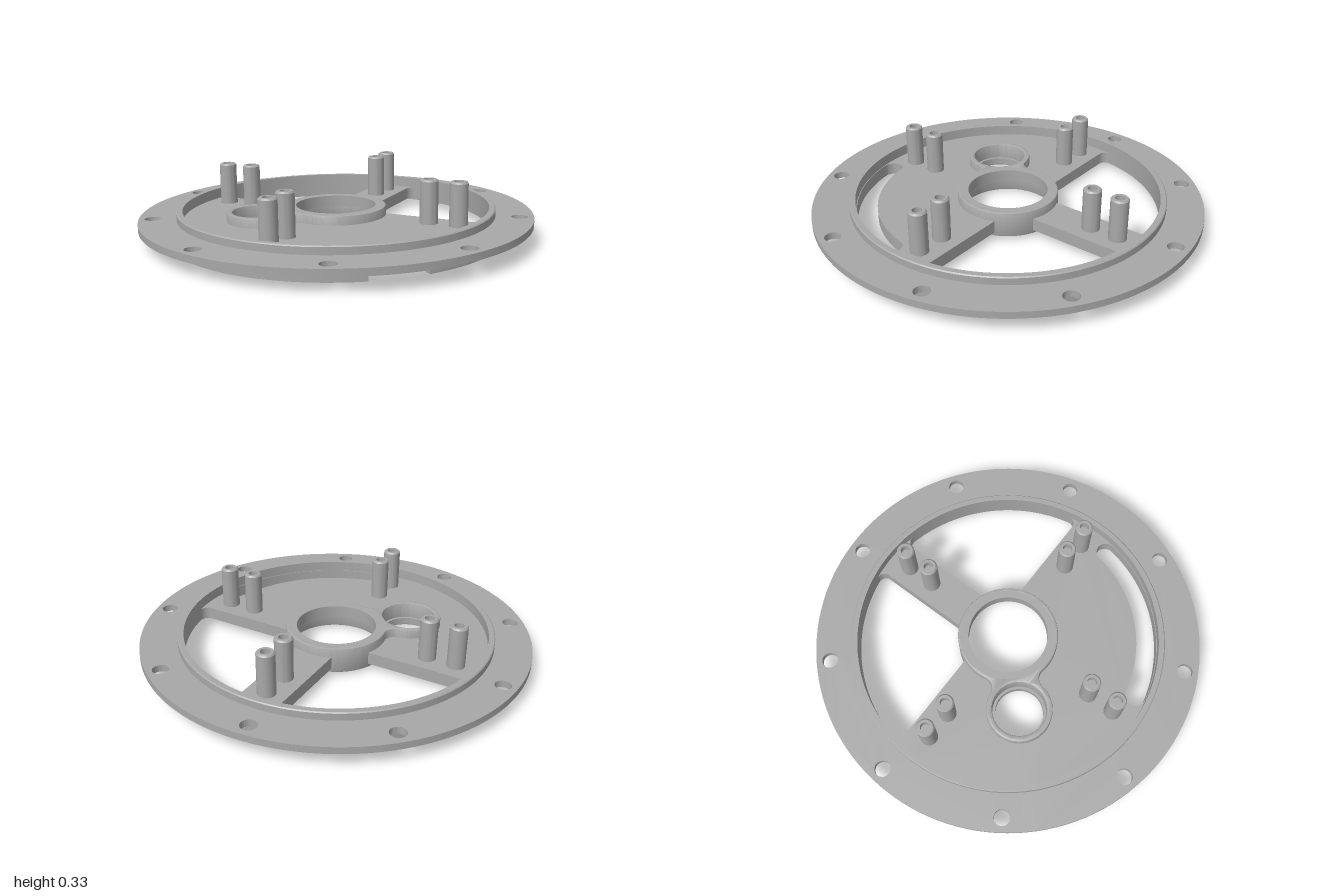
import * as THREE from 'three';
import { toCreasedNormals } from 'three/addons/utils/BufferGeometryUtils.js';

const RAD = Math.PI / 180;
const metal = new THREE.MeshStandardMaterial({ color: 0xa8a8a8 });
metal.name = 'grey metal';

const circle = (x, y, r, T = THREE.Path) => new T().absarc(x, y, r, 0, Math.PI * 2, false);

// Flat shape (shape y = -z) raised from y0 to y1
function slab(name, shape, y0, y1, bevel = 0) {
  const g = new THREE.ExtrudeGeometry(shape, {
    depth: y1 - y0 - 2 * bevel, curveSegments: 64, bevelEnabled: bevel > 0,
    bevelSize: bevel, bevelThickness: bevel, bevelOffset: -bevel, bevelSegments: 2,
  });
  g.rotateX(-Math.PI / 2).translate(0, y0 + bevel, 0);
  return finish(name, g);
}

// Turned part; profile runs counter-clockwise in (radius, height)
function turned(name, pts, segments, x = 0, z = 0) {
  const g = new THREE.LatheGeometry(pts.map(p => new THREE.Vector2(...p)), segments);
  return finish(name, g.translate(x, 0, z));
}

function finish(name, g) {
  const m = new THREE.Mesh(toCreasedNormals(g, 30 * RAD), metal);
  m.name = name;
  return m;
}

// Square-section ring
const ring = (name, r0, r1, y0, y1, x = 0) =>
  turned(name, [[r0, y0], [r1, y0], [r1, y1], [r0, y1], [r0, y0]], 72, x);

// Quarter window between two arms, with rounded outer corners
function windowHole(phi) {
  const half = 0.103, R = 0.78, hub = 0.255, q = 0.04;
  const a = phi - Math.PI / 4, b = phi + Math.PI / 4;
  const t = Math.asin((half + q) / (R - q)), h = Math.asin(half / hub);
  const at = ang => [(R - q) * Math.cos(ang), (R - q) * Math.sin(ang)];
  const p = new THREE.Path();
  p.moveTo(hub * Math.cos(a + h), hub * Math.sin(a + h));
  p.absarc(...at(a + t), q, a - Math.PI / 2, a + t, false);
  p.absarc(0, 0, R, a + t, b - t, false);
  p.absarc(...at(b - t), q, b - t, b + Math.PI / 2, false);
  p.absarc(0, 0, hub, b - h, a + h, true);
  return p;
}

// Curved slot with round ends
function slotHole(phi, spread, r, w) {
  const a = phi - spread, b = phi + spread;
  const p = new THREE.Path();
  p.absarc(0, 0, r + w, a, b, false);
  p.absarc(r * Math.cos(b), r * Math.sin(b), w, b, b + Math.PI, false);
  p.absarc(0, 0, r - w, b, a, true);
  p.absarc(r * Math.cos(a), r * Math.sin(a), w, a + Math.PI, a + 2 * Math.PI, false);
  return p;
}

// Hub and side boss joined by concave fillets
function hubOutline() {
  const R = 0.26, r = 0.168, d = 0.4, f = 0.06;
  const x = -((R + f) ** 2 - (r + f) ** 2 + d * d) / (2 * d);
  const y = Math.sqrt((R + f) ** 2 - x * x);
  const a = Math.atan2(y, x), b = Math.atan2(y, x + d);
  const s = new THREE.Shape();
  s.absarc(0, 0, R, -a, a, false);
  s.absarc(x, y, f, a - Math.PI, b - Math.PI, true);
  s.absarc(-d, 0, r, b, 2 * Math.PI - b, false);
  s.absarc(x, -y, f, Math.PI - b, Math.PI - a, true);
  s.holes.push(circle(0, 0, 0.235), circle(-d, 0, 0.138));
  return s;
}

export function createModel() {
  const group = new THREE.Group();
  group.name = 'coverPlate';
  const body = new THREE.Group();
  body.name = 'body';
  body.rotation.z = 0.0145;
  group.add(body);

  // Outer flange with nine bolt holes
  const flange = circle(0, 0, 1, THREE.Shape);
  flange.holes.push(circle(0, 0, 0.8));
  for (let i = 0; i < 9; i++) {
    const a = (90 + i * 40) * RAD;
    flange.holes.push(circle(0.93 * Math.cos(a), 0.93 * Math.sin(a), 0.04));
  }
  body.add(slab('flange', flange, 0.08, 0.115));

  // Collar above and below the flange
  body.add(turned('collar', [
    [0.785, 0.045], [0.868, 0.045], [0.868, 0.1], [0.812, 0.1], [0.812, 0.15], [0.807, 0.155],
    [0.78, 0.155], [0.78, 0.099], [0.785, 0.099], [0.785, 0.045],
  ], 128));

  // Bottom lip, open at the front notch
  const gap = Math.asin(0.14 / 0.868), front = -Math.PI / 2;
  const lip = new THREE.Shape();
  lip.absarc(0, 0, 0.868, front + gap, front + 2 * Math.PI - gap, false);
  lip.absarc(0, 0, 0.835, front + 2 * Math.PI - gap, front + gap, true);
  body.add(slab('bottomLip', lip, 0.013, 0.046));

  // Web plate with two windows, a curved slot and bores
  const plate = circle(0, 0, 0.836, THREE.Shape);
  plate.holes.push(windowHole(Math.PI / 2), windowHole(0),
    slotHole(front, 34.3 * RAD, 0.724, 0.052),
    circle(0, 0, 0.245), circle(-0.4, 0, 0.152));
  body.add(slab('webPlate', plate, 0.036, 0.1));

  // Hub, side boss and the steps inside their bores
  body.add(slab('hubAndBoss', hubOutline(), 0.015, 0.148, 0.008));
  body.add(ring('hubLip', 0.205, 0.245, 0.09, 0.148));
  body.add(ring('bossLip', 0.124, 0.15, 0.03, 0.065, -0.4));

  // Four pairs of hollow posts
  for (const sx of [-1, 1]) for (const sz of [-1, 1]) for (const d of [0.361, 0.468]) {
    body.add(turned('post', [
      [0.045, 0.09], [0.045, 0.312], [0.038, 0.32], [0.024, 0.32], [0.024, 0.28], [0, 0.28],
    ], 32, sx * d, sz * d));
  }
  return group;
}
